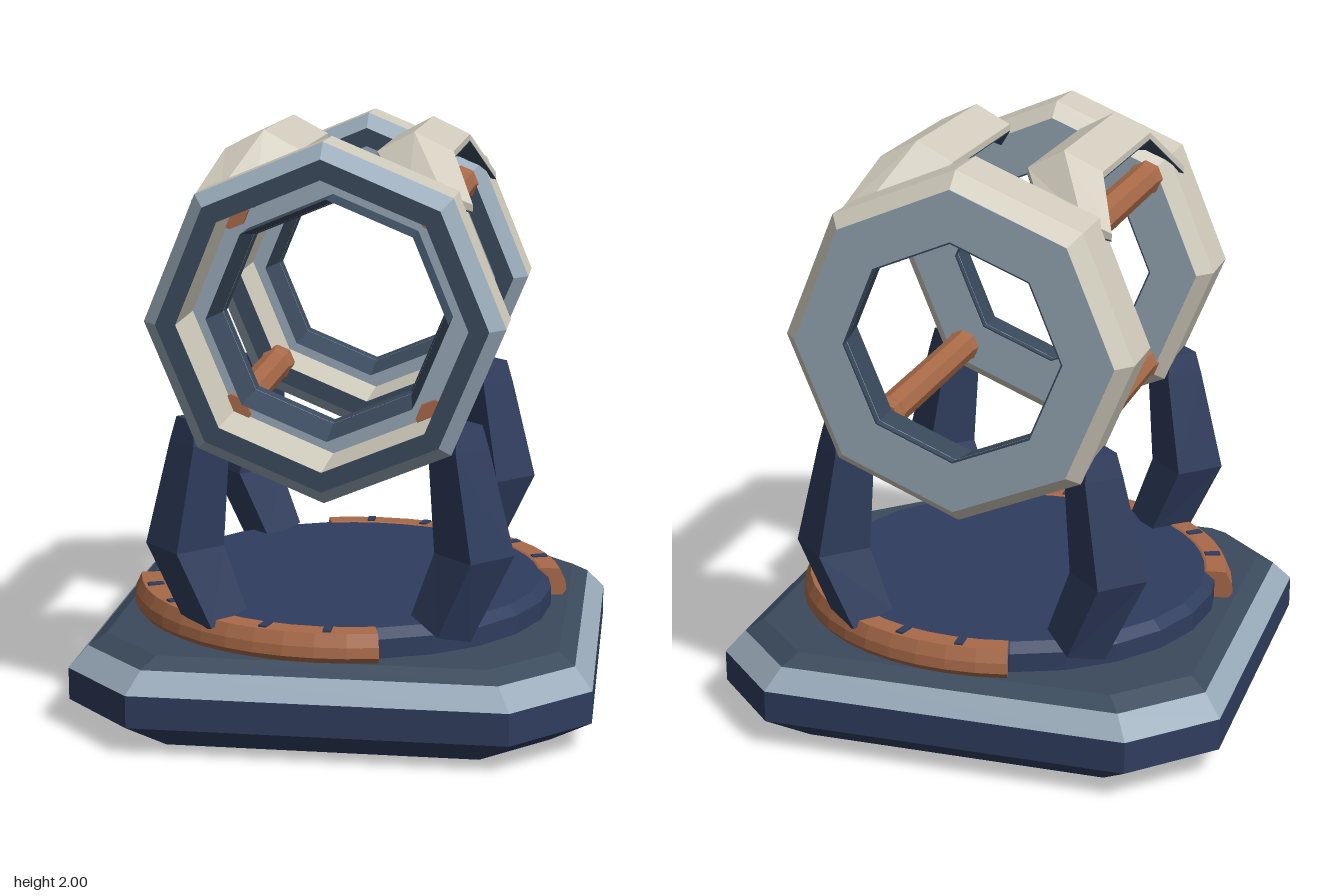
import * as THREE from 'three';

const mat = (name, color) => Object.assign(new THREE.MeshStandardMaterial({ color, flatShading: true }), { name });

// Solid through cross-section loops; closed joins the last loop to the first, otherwise ends are capped
function loft(loops, closed = false) {
  const tris = [], n = loops[0].length, count = loops.length;
  for (let i = 0; i < (closed ? count : count - 1); i++) {
    const a = loops[i], b = loops[(i + 1) % count];
    for (let j = 0; j < n; j++) {
      const k = (j + 1) % n;
      tris.push([a[j], a[k], b[k]], [a[j], b[k], b[j]]);
    }
  }
  if (!closed) {
    const first = loops[0], last = loops[count - 1];
    const mid = (l) => [0, 1, 2].map((c) => l.reduce((s, p) => s + p[c], 0) / n);
    const m0 = mid(first), m1 = mid(last);
    for (let j = 0; j < n; j++) {
      const k = (j + 1) % n;
      tris.push([m0, first[k], first[j]], [m1, last[j], last[k]]);
    }
  }
  // Turn the faces outward according to the signed volume
  let volume = 0;
  for (const [a, b, c] of tris) {
    volume += a[0] * (b[1] * c[2] - b[2] * c[1]) - a[1] * (b[0] * c[2] - b[2] * c[0]) + a[2] * (b[0] * c[1] - b[1] * c[0]);
  }
  const pts = tris.flatMap(([a, b, c]) => (volume > 0 ? [a, b, c] : [a, c, b])).flat();
  const geo = new THREE.BufferGeometry();
  geo.setAttribute('position', new THREE.Float32BufferAttribute(pts, 3));
  geo.computeVertexNormals();
  return geo;
}

// Closed [radius, z] profile turned around the z axis into an eight-sided ring
function octagonRing(profile) {
  return loft(Array.from({ length: 8 }, (_, i) => {
    const a = (i * Math.PI) / 4;
    return profile.map(([r, z]) => [r * Math.cos(a), r * Math.sin(a), z]);
  }), true);
}

// Rectangle with cut corners at height y
function cutRect(hx, hz, cut, y) {
  return [[hx, hz - cut], [hx - cut, hz], [cut - hx, hz], [-hx, hz - cut],
    [-hx, cut - hz], [cut - hx, -hz], [hx - cut, -hz], [hx, cut - hz]].map(([x, z]) => [x, y, z]);
}

export function createModel() {
  const navy = mat('navy', 0x2f3d5e);
  const slate = mat('slate', 0x3a4a5c);
  const steel = mat('steel', 0x97a8b7);
  const cream = mat('cream', 0xd0cbbc);
  const copper = mat('copper', 0xa86a48);

  const model = new THREE.Group();
  const add = (name, geo, material, parent = model) => {
    const mesh = new THREE.Mesh(geo, material);
    mesh.name = name;
    parent.add(mesh);
    return mesh;
  };

  // Stepped base with cut corners
  add('baseBody', loft([cutRect(0.74, 0.73, 0.22, 0), cutRect(0.88, 0.865, 0.255, 0.1), cutRect(0.88, 0.865, 0.255, 0.21)]), navy);
  add('baseBevel', loft([cutRect(0.88, 0.865, 0.255, 0.21), cutRect(0.82, 0.805, 0.235, 0.28)]), steel);
  add('baseTop', loft([cutRect(0.82, 0.805, 0.235, 0.28), cutRect(0.765, 0.75, 0.22, 0.315)]), slate);

  // Turntable disc
  add('turntableRim', new THREE.CylinderGeometry(0.71, 0.71, 0.07, 24).translate(0, 0.345, 0), navy);
  add('turntableTop', new THREE.CylinderGeometry(0.675, 0.71, 0.03, 24).translate(0, 0.395, 0), navy);

  // Two curved rails with notches on the rim
  const railProfile = [[0.65, 0.315], [0.755, 0.315], [0.77, 0.335], [0.765, 0.37], [0.745, 0.412], [0.675, 0.414], [0.65, 0.4]];
  for (const turn of [0, Math.PI]) {
    const rail = new THREE.Group();
    rail.name = turn ? 'frontLeftRail' : 'backRightRail';
    rail.rotation.y = turn;
    model.add(rail);
    const loops = [];
    for (let i = 0; i <= 12; i++) {
      const a = THREE.MathUtils.degToRad(9.5 + (95 * i) / 12);
      loops.push(railProfile.map(([r, y]) => [r * Math.cos(a), y, -r * Math.sin(a)]));
    }
    add('railArc', loft(loops), copper, rail);
    for (let i = 0; i < 5; i++) {
      const a = THREE.MathUtils.degToRad(22.5 + 17.25 * i);
      const notch = add('railNotch', new THREE.BoxGeometry(0.055, 0.012, 0.028), navy, rail);
      notch.position.set(0.705 * Math.cos(a), 0.413, -0.705 * Math.sin(a));
      notch.rotation.y = a;
    }
  }

  // Four bent legs: [centre x, centre y, half width, tilt of the section]
  const legSections = [[0.375, 0.387, 0.108, -0.4], [0.483, 0.645, 0.132, 0], [0.428, 1.0, 0.1, 0], [0.43, 1.08, 0.075, 0]];
  for (const sx of [-1, 1]) {
    for (const sz of [-1, 1]) {
      const loops = legSections.map(([x, y, h, tilt]) => [0, 1, 2, 3].map((i) => {
        const u = h * Math.cos((i * Math.PI) / 2), w = h * Math.sin((i * Math.PI) / 2);
        return [sx * (x + u * Math.cos(tilt)), y + u * Math.sin(tilt), sz * 0.56 + w];
      }));
      add(`${sz > 0 ? 'front' : 'back'}${sx > 0 ? 'Left' : 'Right'}Leg`, loft(loops), navy);
    }
  }

  // Two octagonal rings with a grooved front and a plated back
  const ringParts = [
    ['ringShell', cream, [[0.585, 0.1], [0.585, -0.1], [0.535, -0.158], [0.47, -0.158], [0.47, 0.157], [0.52, 0.157], [0.52, 0.1]]],
    ['ringBevel', steel, [[0.585, 0.1], [0.535, 0.16], [0.52, 0.16], [0.52, 0.1]]],
    ['ringFace', slate, [[0.535, 0.157], [0.535, 0.162], [0.47, 0.162], [0.47, 0.157]]],
    ['ringBackPlate', steel, [[0.535, -0.161], [0.368, -0.161], [0.368, -0.12], [0.475, -0.12], [0.475, -0.155], [0.535, -0.155]]],
    ['ringInnerTube', slate, [[0.395, 0.04], [0.395, -0.14], [0.372, -0.159], [0.362, -0.159]]],
  ];
  for (const z of [0.56, -0.56]) {
    const ring = new THREE.Group();
    ring.name = z > 0 ? 'frontRing' : 'backRing';
    ring.position.set(0, 1.412, z);
    model.add(ring);
    for (const [name, material, profile] of ringParts) add(name, octagonRing(profile), material, ring);
  }

  // Four rods joining the rings, slightly flared at the ends
  const rodProfile = [[0, -0.46], [0.064, -0.46], [0.064, -0.41], [0.056, -0.37], [0.056, 0.37], [0.064, 0.41], [0.064, 0.46], [0, 0.46]]
    .map(([r, y]) => new THREE.Vector2(r, y));
  for (const x of [-0.34, 0.34]) {
    for (const y of [-0.34, 0.34]) {
      const rod = add('connectingRod', new THREE.LatheGeometry(rodProfile, 8).rotateX(Math.PI / 2), copper);
      rod.position.set(x, 1.412 + y, 0);
    }
  }

  // Two roof-shaped top braces whose ends bend down and outward into the rings
  const middle = [[0.38, 1.938], [0.25, 2.0], [0.128, 1.935]];
  const end = [[0.46, 1.785], [0.36, 1.825], [0.25, 1.79]];
  const brace = (side, drop, thick) => loft([[end, -0.49], [middle, -0.31], [middle, 0.31], [end, 0.49]].map(([line, z]) => {
    const top = line.map(([x, y]) => [side * x, y - drop, z]);
    return [...top, ...top.map(([x, y]) => [x, y - thick, z]).reverse()];
  }));
  for (const side of [-1, 1]) {
    const name = side > 0 ? 'leftBrace' : 'rightBrace';
    add(name, brace(side, 0, 0.022), cream);
    add(`${name}Underside`, brace(side, 0.022, 0.004), slate);
  }

  return model;
}
